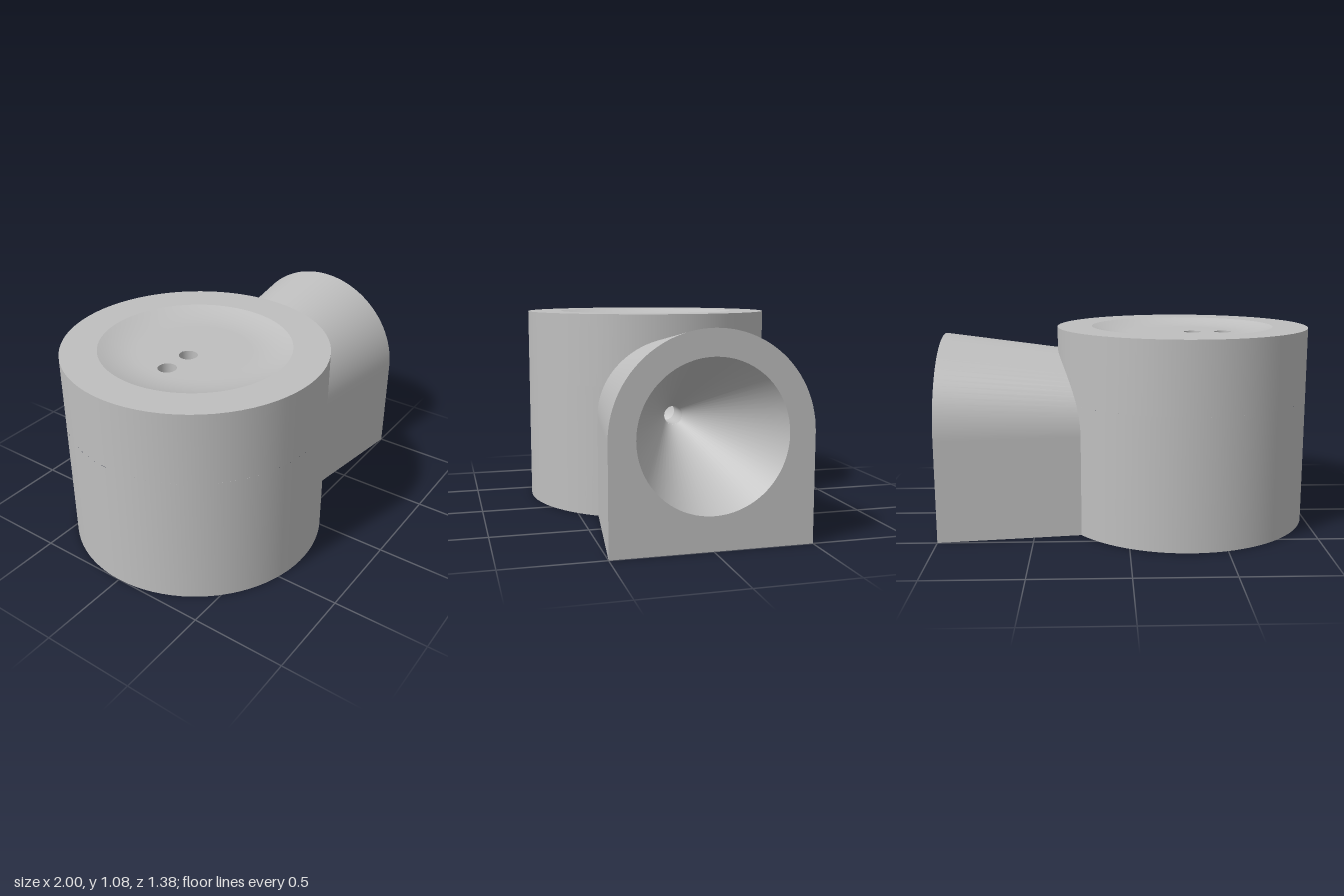
import * as THREE from 'three';

const CX = -0.31, R = 0.69, H = 1.08;       // drum
const MID = 0.54;                           // height of horn axis and chamber centre
const NECK = 0.165, CAVITY = 0.45;          // bottom opening and inner chamber
const HOLE = 0.048, FLOOR = 1.045;          // top holes and dish floor
const BORE = 0.05;

export function createModel() {
  const group = new THREE.Group();
  const grey = new THREE.MeshStandardMaterial({ color: 0xbfbfbf });
  grey.name = 'grey';

  const add = (name, geometry, x = 0, y = 0) => {
    const mesh = new THREE.Mesh(geometry, grey);
    mesh.name = name;
    mesh.position.set(x, y, 0);
    group.add(mesh);
    return mesh;
  };
  const lathe = (points, segments = 72, start = 0, length = Math.PI * 2) =>
    new THREE.LatheGeometry(points.map(([r, y]) => new THREE.Vector2(r, y)), segments, start, length);
  const circle = (x, y, r) => new THREE.Path().absarc(x, y, r, 0, Math.PI * 2, true);

  // Drum wall, left open where the horn passes through it
  const split = 0.7, gap = 0.5;
  add('drumWallUpper', lathe([[R, split], [R, H]]), CX);
  add('drumWallLower', lathe([[R, 0], [R, split]], 72, Math.PI / 2 + gap, Math.PI * 2 - 2 * gap), CX);
  add('drumBase', lathe([[NECK, 0], [R, 0]]), CX);

  // Top rim and shallow dish
  add('drumRim', lathe([[R, H], [0.5, H]]), CX);
  const dish = [];
  for (let i = 0; i <= 8; i++) {
    const t = i / 8;
    dish.push([0.5 - 0.2 * t, H - (H - FLOOR) * (1 - (1 - t) ** 2)]);
  }
  add('dishSlope', lathe(dish), CX);
  const floor = new THREE.Shape().absarc(0, 0, 0.3, 0, Math.PI * 2);
  const holes = [-0.23, -0.06];
  holes.forEach((x) => floor.holes.push(circle(x, 0, HOLE)));
  add('dishFloor', new THREE.ShapeGeometry(floor, 36).rotateX(-Math.PI / 2), CX, FLOOR);
  holes.forEach((x) => {
    const bottom = MID + Math.sqrt(CAVITY ** 2 - x ** 2);
    add('topHole', lathe([[HOLE, FLOOR], [HOLE, bottom]], 32), CX + x);
  });

  // Inner chamber and its neck through the base
  const chamber = [];
  const last = Math.PI - Math.asin(NECK / CAVITY);
  for (let i = 0; i <= 24; i++) {
    const a = (last * i) / 24;
    chamber.push([CAVITY * Math.sin(a), MID + CAVITY * Math.cos(a)]);
  }
  add('chamber', lathe(chamber), CX);
  add('chamberNeck', lathe([[NECK, chamber[24][1]], [NECK, 0]]), CX);

  // Horn housing: arched section that widens towards the open end
  const x0 = 0.2, x1 = 1;
  const radiusAt = (x) => 0.5 - 0.13 * (1 - x);
  const section = (r) => {
    const pts = [[r, 0]];
    for (let i = 0; i <= 48; i++) {
      const a = (Math.PI * i) / 48;
      pts.push([r * Math.cos(a), MID + r * Math.sin(a)]);
    }
    return pts.concat([[-r, 0]]);
  };
  const positions = [], index = [];
  const inner = section(radiusAt(x0)), outer = section(radiusAt(x1));
  inner.forEach(([z, y], i) => {
    positions.push(x0, y, z, x1, outer[i][1], outer[i][0]);
    if (i) {
      const a = 2 * i - 2;
      index.push(a, a + 1, a + 2, a + 1, a + 3, a + 2);
    }
  });
  const shell = new THREE.BufferGeometry();
  shell.setAttribute('position', new THREE.Float32BufferAttribute(positions, 3));
  shell.setIndex(index);
  shell.computeVertexNormals();
  add('hornHousing', shell);

  const r0 = radiusAt(x0), r1 = radiusAt(x1);
  const base = new THREE.Shape([[x0, -r0], [x1, -r1], [x1, r1], [x0, r0]]
    .map(([x, z]) => new THREE.Vector2(x, z)));
  add('hornBase', new THREE.ShapeGeometry(base).rotateX(Math.PI / 2));

  // End face with the round mouth
  const face = new THREE.Shape(outer.map(([z, y]) => new THREE.Vector2(z, y)));
  face.holes.push(circle(0, MID, 0.37));
  add('hornFace', new THREE.ShapeGeometry(face, 36).rotateY(Math.PI / 2), x1);

  // Conical horn and narrow bore leading into the chamber
  const throat = 0.3;
  add('hornCone', lathe([[0.37, x1], [BORE, throat]]).rotateZ(-Math.PI / 2), 0, MID);
  add('hornBore', lathe([[BORE, throat], [BORE, CX + CAVITY]], 32).rotateZ(-Math.PI / 2), 0, MID);

  return group;
}
